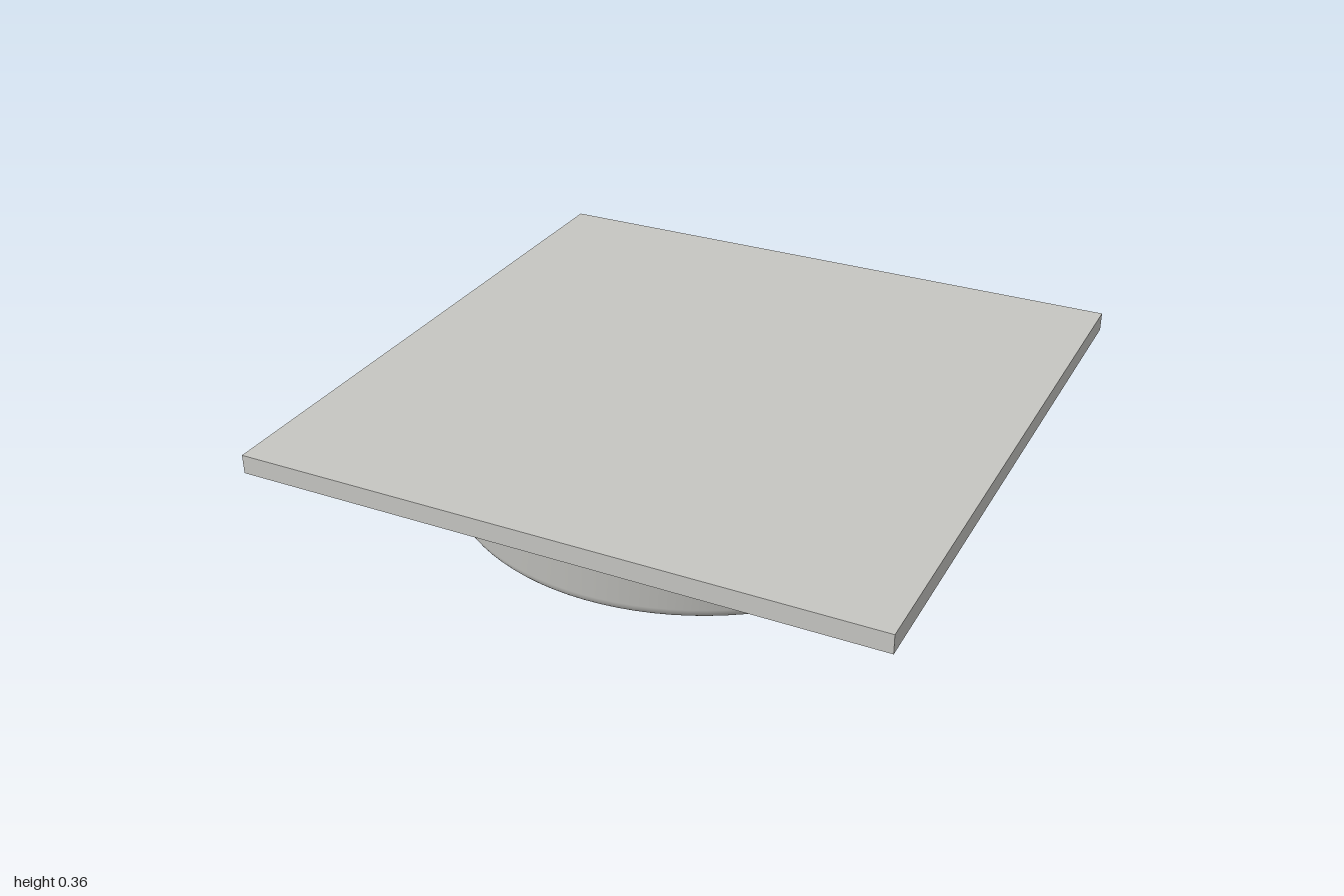
import * as THREE from 'three';

export function createModel() {
  const model = new THREE.Group();
  const grey = new THREE.MeshStandardMaterial({ name: 'light grey', color: 0xc6c6c2 });
  const green = new THREE.MeshStandardMaterial({ name: 'green', color: 0x6ace9a });

  const add = (name, geometry, material, y) => {
    const mesh = new THREE.Mesh(geometry, material);
    mesh.name = name;
    mesh.position.y = y;
    model.add(mesh);
    return mesh;
  };

  // Square top plate
  add('topPlate', new THREE.BoxGeometry(2, 0.06, 2), grey, 0.33);

  // Round housing: tapered wall with rounded rims
  const profile = new THREE.Path();
  profile.moveTo(0.765, 0.015);
  profile.quadraticCurveTo(0.8, 0.018, 0.808, 0.055);
  profile.lineTo(0.837, 0.25);
  profile.quadraticCurveTo(0.842, 0.285, 0.81, 0.293);
  profile.lineTo(0.8, 0.3);
  add('housingWall', new THREE.LatheGeometry(profile.getPoints(8), 96), grey, 0);

  // Flat underside of the housing
  const underside = add('housingUnderside', new THREE.CircleGeometry(0.765, 96), grey, 0.015);
  underside.rotation.x = Math.PI / 2;

  // Thin round lens below the housing
  add('lens', new THREE.CylinderGeometry(0.535, 0.535, 0.015, 96), green, 0.0075);

  return model;
}
